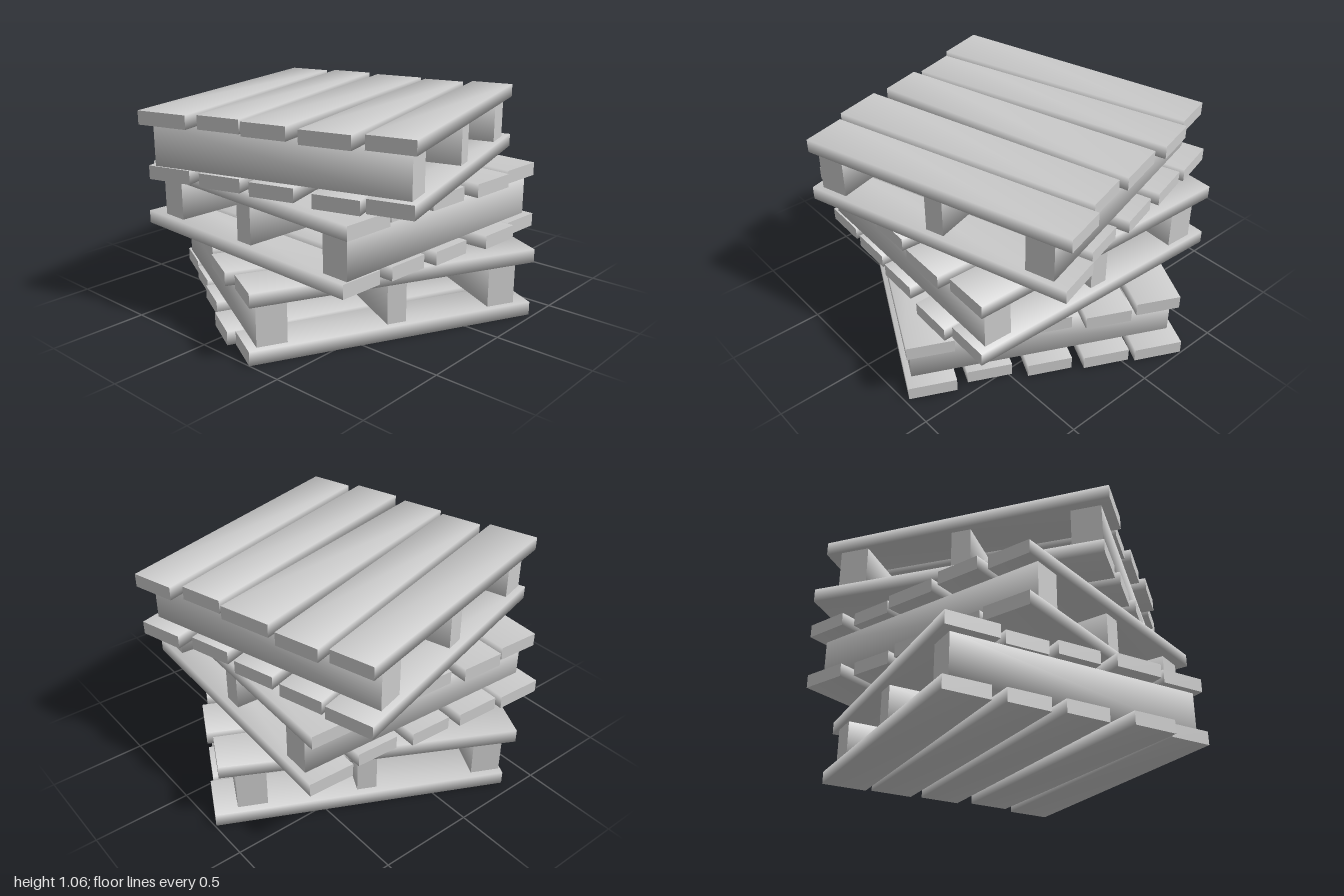
import * as THREE from 'three';

const SLAT = 0.07, PALLET = 0.3533;

// Slats: [left, right] at the back end, [left, right] at the front end, back z, front z
const TOP = [
  [-0.69, -0.46, -0.73, -0.455, -0.76, 0.73],
  [-0.42, -0.185, -0.41, -0.18, -0.79, 0.697],
  [-0.12, 0.158, -0.15, 0.085, -0.76, 0.728],
  [0.195, 0.426, 0.163, 0.423, -0.731, 0.753],
  [0.469, 0.702, 0.47, 0.71, -0.775, 0.716],
];
const BOTTOM = [
  [-0.713, -0.46, -0.715, -0.475, -0.795, 0.69],
  [-0.43, -0.19, -0.408, -0.18, -0.78, 0.705],
  [-0.13, 0.1, -0.115, 0.12, -0.76, 0.728],
  [0.175, 0.405, 0.235, 0.472, -0.725, 0.765],
  [0.465, 0.708, 0.482, 0.711, -0.761, 0.725],
];
// Beams run across the slats: [centre z, width]
const BEAMS = [[-0.605, 0.15], [-0.025, 0.1], [0.605, 0.15]];

const material = new THREE.MeshStandardMaterial({ color: 0xcccccc });

// Four-sided plank along z that may taper; long edges are shaded soft, ends are sharp
function plank(name, [l0, r0, l1, r1, z0, z1], y0, y1) {
  const ring = (l, r, z) => [l, y0, z, r, y0, z, r, y1, z, l, y1, z];
  const back = ring(l0, r0, z0), front = ring(l1, r1, z1);
  const index = [];
  for (let i = 0; i < 4; i++) {
    const j = (i + 1) % 4;
    index.push(i, j, 4 + j, i, 4 + j, 4 + i);
  }
  index.push(8, 10, 9, 8, 11, 10, 12, 13, 14, 12, 14, 15);
  const geometry = new THREE.BufferGeometry();
  geometry.setAttribute('position',
    new THREE.Float32BufferAttribute([...back, ...front, ...back, ...front], 3));
  geometry.setIndex(index);
  geometry.computeVertexNormals();
  const mesh = new THREE.Mesh(geometry, material);
  mesh.name = name;
  return mesh;
}

function makePallet() {
  const pallet = new THREE.Group();
  BOTTOM.forEach((s, i) => pallet.add(plank(`bottomSlat${i + 1}`, s, 0, SLAT)));
  TOP.forEach((s, i) => pallet.add(plank(`topSlat${i + 1}`, s, PALLET - SLAT, PALLET)));
  BEAMS.forEach(([z, w], i) => {
    // built along z, then turned to lie across the slats
    const beam = plank(`beam${i + 1}`, [-w / 2, w / 2, -w / 2, w / 2, -0.68, 0.68], SLAT, PALLET - SLAT);
    beam.rotation.y = Math.PI / 2;
    beam.position.z = z;
    pallet.add(beam);
  });
  return pallet;
}

export function createModel() {
  const model = new THREE.Group();
  model.name = 'palletStack';
  // Stack of pallets: [x, z, turn in degrees]
  const stack = [[0.005, 0.035, -26.4], [0.02, 0.015, 87.3], [0.005, 0.038, 16]];
  stack.forEach(([x, z, turn], i) => {
    const pallet = makePallet();
    pallet.name = ['lowerPallet', 'middlePallet', 'upperPallet'][i];
    pallet.position.set(x, i * PALLET, z);
    pallet.rotation.y = THREE.MathUtils.degToRad(turn);
    model.add(pallet);
  });
  return model;
}
